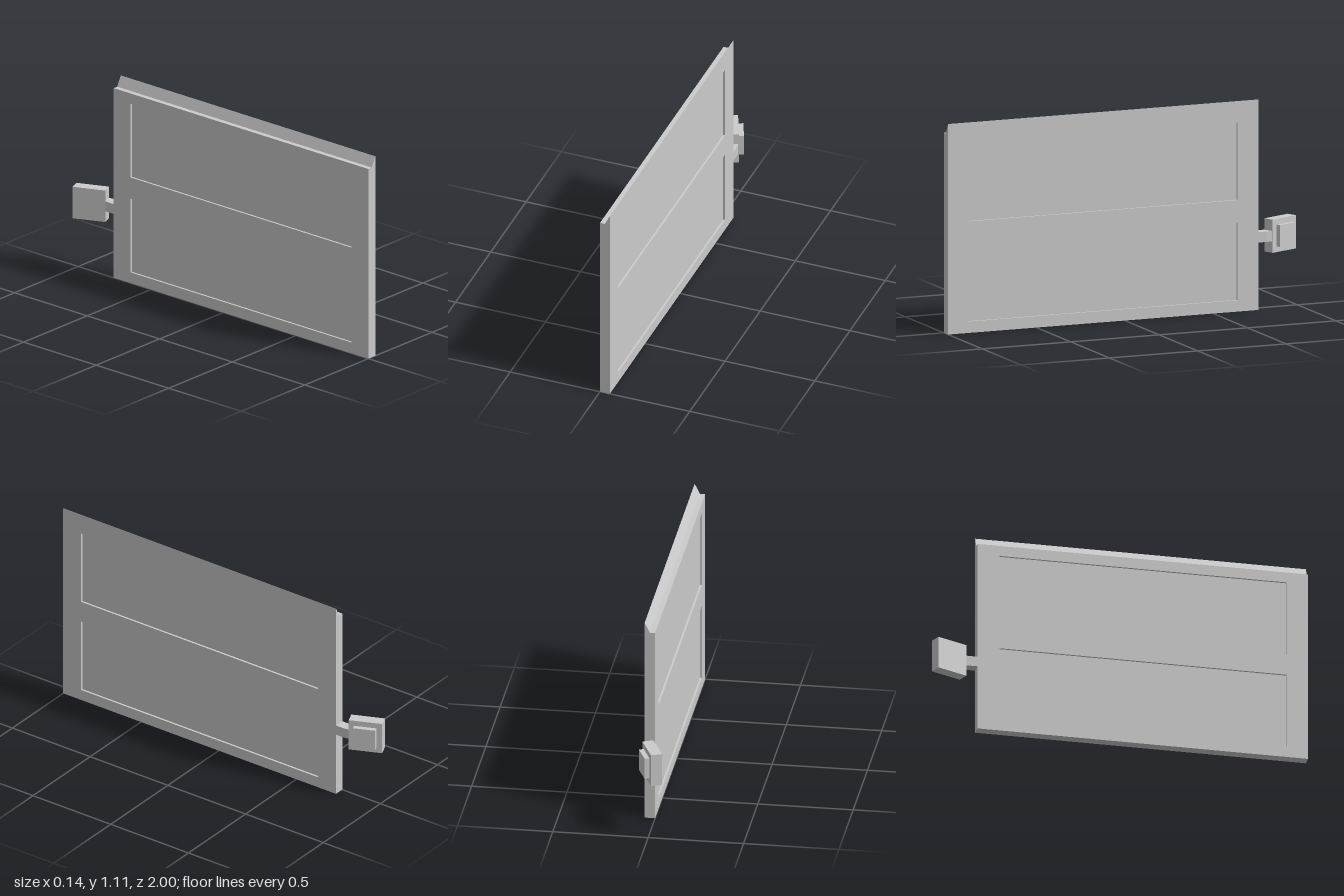
import * as THREE from 'three';

const material = new THREE.MeshStandardMaterial({ color: 0xcccccc, flatShading: true });

const polygon = (points) => new THREE.Shape(points.map(([a, b]) => new THREE.Vector2(a, b)));

const rectangle = (a0, a1, b0, b1) => polygon([[a0, b0], [a1, b0], [a1, b1], [a0, b1]]);

const extrude = (shape, depth) => new THREE.ExtrudeGeometry(shape, { depth, bevelEnabled: false });

// Side outline (-z, y) given thickness from x0 to x1
const sidePlate = (shape, x0, x1) => extrude(shape, x1 - x0).rotateY(Math.PI / 2).translate(x0, 0, 0);

// Plan outline (x, -z) raised from y0 to y1
const planBlock = (points, y0, y1) =>
  extrude(polygon(points), y1 - y0).rotateX(-Math.PI / 2).translate(0, y0, 0);

export function createModel() {
  const group = new THREE.Group();
  const add = (name, geometry) => {
    const mesh = new THREE.Mesh(geometry, material);
    mesh.name = name;
    group.add(mesh);
    return mesh;
  };

  const thickness = 0.055, recess = 0.011;
  const front = -1, back = 0.755, shoulder = 1.055, top = 1.11;

  // Door frame with two openings, each filled by a thinner recessed panel
  const frame = rectangle(front, back, 0, shoulder);
  for (const [name, y0, y1] of [['lowerPanel', 0.06, 0.47], ['upperPanel', 0.588, 0.998]]) {
    const opening = rectangle(-0.885, 0.638, y0, y1);
    frame.holes.push(opening);
    add(name, sidePlate(opening, recess, thickness - recess));
  }
  add('doorFrame', sidePlate(frame, 0, thickness));

  // Sloped lip along the top edge, running the full length
  const lip = polygon([[0.027, shoulder], [thickness, shoulder], [thickness, top]]);
  add('topLip', extrude(lip, back - front).translate(0, 0, -back));

  // Short arm bending toward the latch block
  add('latchArm', planBlock(
    [[0, back], [thickness, back], [thickness, 0.805], [0.05, 0.837], [0, 0.813]], 0.355, 0.41));

  // Angled latch block with a smaller raised pad on its outer face
  const latch = new THREE.Group();
  latch.name = 'latch';
  latch.position.set(0, 0, -0.813);
  latch.rotation.y = 0.405;
  const block = add('latchBlock', planBlock([[0, 0], [0.06, 0], [0.06, 0.178], [0, 0.178]], 0.295, 0.47));
  const pad = add('latchPad',
    planBlock([[0.06, 0.029], [0.086, 0.029], [0.086, 0.147], [0.06, 0.147]], 0.325, 0.44));
  latch.add(block, pad);
  group.add(latch);

  return group;
}
